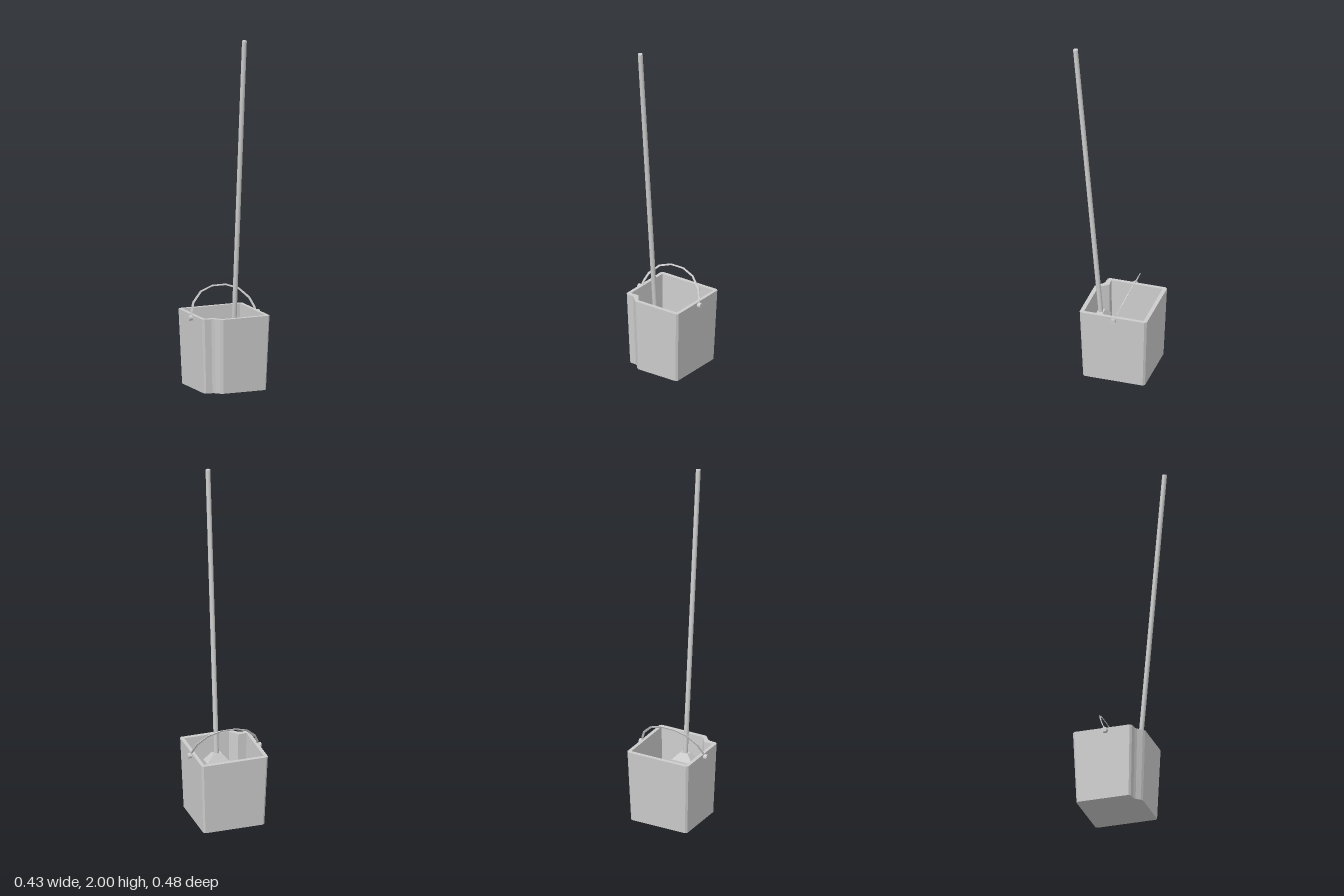
import * as THREE from 'three';

const grey = new THREE.MeshStandardMaterial({ color: 0xcccccc, side: THREE.DoubleSide });
const flat = new THREE.MeshStandardMaterial({ color: 0xcccccc, side: THREE.DoubleSide, flatShading: true });

// Bucket outlines as [x, z], with the notched front corner
const OUTER = [[-0.193, -0.232], [-0.182, -0.243], [0.182, -0.242], [0.193, -0.23], [0.193, 0.135], [0.183, 0.146],
  [-0.09, 0.146], [-0.105, 0.137], [-0.127, 0.111], [-0.143, 0.102], [-0.182, 0.099], [-0.193, 0.088]];
const INNER = [[-0.173, -0.22], [0.173, -0.22], [0.173, 0.123], [-0.088, 0.123], [-0.124, 0.072], [-0.173, 0.075]];
const shrink = (loop, s) => loop.map(([x, z]) => [x * s, -0.047 + (z + 0.047) * s]);

function add(parent, name, geometry, material = grey) {
  const mesh = new THREE.Mesh(geometry, material);
  mesh.name = name;
  parent.add(mesh);
  return mesh;
}

// Wall between two matching outlines; swap them to face inward
function wall(loopA, yA, loopB, yB) {
  const pos = [];
  loopA.forEach((p, i) => {
    const j = (i + 1) % loopA.length;
    const a0 = [p[0], yA, p[1]], b0 = [loopA[j][0], yA, loopA[j][1]];
    const a1 = [loopB[i][0], yB, loopB[i][1]], b1 = [loopB[j][0], yB, loopB[j][1]];
    pos.push(...b0, ...a0, ...a1, ...b0, ...a1, ...b1);
  });
  const g = new THREE.BufferGeometry();
  g.setAttribute('position', new THREE.Float32BufferAttribute(pos, 3));
  g.computeVertexNormals();
  return g;
}

// Horizontal sheet from an outline, facing up or down
function sheet(loop, y, up, hole) {
  const pts = l => l.map(([x, z]) => new THREE.Vector2(x, up ? -z : z));
  const shape = new THREE.Shape(pts(loop));
  if (hole) shape.holes.push(new THREE.Path(pts(hole)));
  return new THREE.ShapeGeometry(shape).rotateX(up ? -Math.PI / 2 : Math.PI / 2).translate(0, y, 0);
}

// Straight rod between two points
function rod(a, b, r, sides) {
  const d = b.clone().sub(a);
  const g = new THREE.CylinderGeometry(r, r, d.length(), sides);
  g.applyQuaternion(new THREE.Quaternion().setFromUnitVectors(new THREE.Vector3(0, 1, 0), d.clone().normalize()));
  const m = a.clone().add(b).multiplyScalar(0.5);
  return g.translate(m.x, m.y, m.z);
}

function makeBucket() {
  const bucket = new THREE.Group();
  bucket.name = 'bucket';
  const base = shrink(OUTER, 0.92), floor = shrink(INNER, 0.92);
  add(bucket, 'outerWall', wall(base, 0, OUTER, 0.42));
  add(bucket, 'innerWall', wall(INNER, 0.42, floor, 0.02));
  add(bucket, 'rim', sheet(OUTER, 0.42, true, INNER));
  add(bucket, 'floor', sheet(floor, 0.02, true));
  add(bucket, 'underside', sheet(base, 0, false));
  return bucket;
}

function makeHandle() {
  const handle = new THREE.Group();
  handle.name = 'handle';
  // Flat faceted band, drawn in its own plane and leaned backward
  const half = [[0.2, 0.005], [0.193, 0.04], [0.172, 0.09], [0.115, 0.148], [0.042, 0.174]];
  const line = [...half, ...half.slice().reverse().map(([x, y]) => [-x, y])];
  const inset = line.map(([x, y]) => [x * 0.95, y - 0.009]).reverse();
  const shape = new THREE.Shape([...line, ...inset].map(p => new THREE.Vector2(...p)));
  const band = add(handle, 'handleBand',
    new THREE.ExtrudeGeometry(shape, { depth: 0.004, bevelEnabled: false }).translate(0, 0, -0.002));
  band.position.set(0, 0.402, -0.052);
  band.rotation.x = -0.41;
  // Pivot pins on both sides
  for (const s of [-1, 1]) {
    const pin = add(handle, s > 0 ? 'leftPin' : 'rightPin', new THREE.CylinderGeometry(0.015, 0.015, 0.03, 16));
    pin.rotation.z = Math.PI / 2;
    pin.position.set(s * 0.198, 0.402, -0.052);
  }
  return handle;
}

function makeMop() {
  const mop = new THREE.Group();
  mop.name = 'mop';
  // Leaning pole and tapered head share one tilt
  const upper = new THREE.Group();
  upper.name = 'poleAndHead';
  upper.position.set(0, 0.3, 0.08);
  upper.rotation.x = Math.atan(0.0873);
  mop.add(upper);
  add(upper, 'pole', new THREE.CylinderGeometry(0.0135, 0.0135, 1.715, 20).translate(0, 0.848, 0));
  const head = new THREE.BoxGeometry(0.13, 0.045, 0.076);
  const p = head.attributes.position;
  for (let i = 0; i < p.count; i++) {
    if (p.getY(i) > 0) p.setXYZ(i, p.getX(i) * 0.38, p.getY(i), p.getZ(i) * 0.5);
  }
  add(upper, 'mopHead', head, flat);
  add(upper, 'headBase', new THREE.BoxGeometry(0.13, 0.02, 0.076).translate(0, -0.032, 0));

  // Strands fan down to the floor: [root x, root z, tip x, tip z]
  const strands = [
    [-0.055, 0.08, -0.1, -0.06], [-0.055, 0.09, -0.103, -0.027], [-0.035, 0.06, -0.052, -0.03],
    [-0.025, 0.08, -0.037, -0.004], [-0.02, 0.05, -0.028, -0.073], [0, 0.06, -0.001, -0.031],
    [0.012, 0.08, 0.013, -0.004], [0.02, 0.05, 0.037, -0.071], [0.03, 0.08, 0.04, -0.02],
    [0.045, 0.06, 0.067, -0.071], [0.055, 0.09, 0.094, -0.04],
    [-0.045, 0.1, -0.055, 0.06], [-0.015, 0.1, -0.018, 0.07], [0.015, 0.1, 0.018, 0.065], [0.045, 0.1, 0.055, 0.06]
  ];
  for (const [x0, z0, x1, z1] of strands) {
    add(mop, 'strand', rod(new THREE.Vector3(x0, 0.265, z0), new THREE.Vector3(x1, 0.05, z1), 0.007, 10));
  }
  return mop;
}

export function createModel() {
  const model = new THREE.Group();
  model.name = 'mopAndBucket';
  model.add(makeBucket(), makeHandle(), makeMop());
  return model;
}
